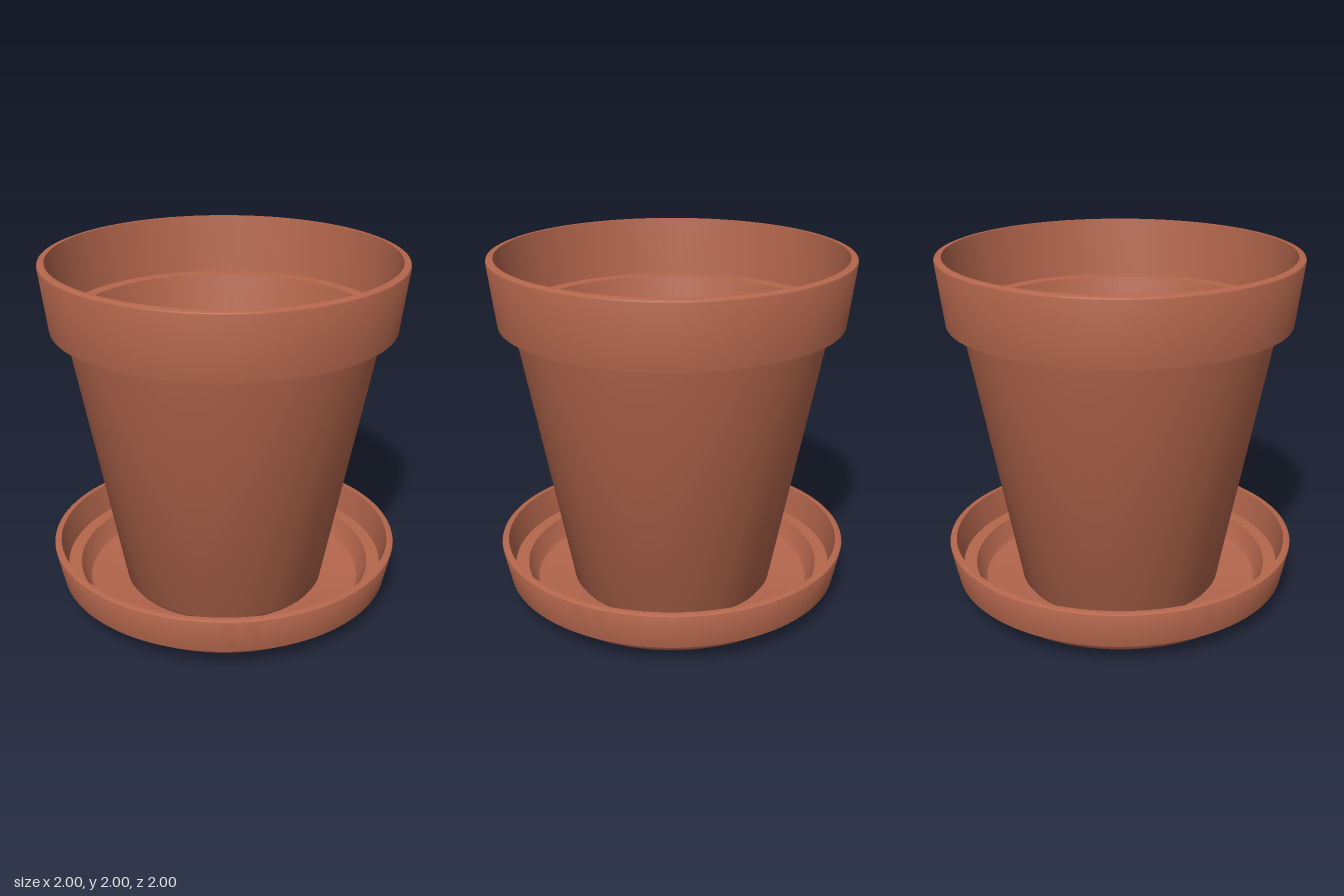
import * as THREE from 'three';
import { toCreasedNormals } from 'three/addons/utils/BufferGeometryUtils.js';

const terracotta = new THREE.MeshStandardMaterial({ color: 0xb4664c });
terracotta.name = 'terracotta';

// Closed profile, from the axis underneath, up the outside and down the inside
function turned(name, profile) {
  const points = profile.map(([r, y]) => new THREE.Vector2(r, y));
  const geometry = toCreasedNormals(new THREE.LatheGeometry(points, 96), 0.6);
  const mesh = new THREE.Mesh(geometry, terracotta);
  mesh.name = name;
  return mesh;
}

export function createModel() {
  const group = new THREE.Group();
  group.name = 'flowerPotWithSaucer';

  group.add(turned('saucer', [
    // rounded foot
    [0, 0], [0.74, 0], [0.79, 0.006], [0.815, 0.016], [0.832, 0.036], [0.87, 0.12],
    // collar
    [0.955, 0.12], [0.998, 0.322], [0.996, 0.328], [0.98, 0.335], [0.96, 0.335],
    // inner ledge and dish
    [0.925, 0.17], [0.85, 0.17], [0.815, 0.09], [0.795, 0.065], [0.76, 0.055], [0, 0.055],
  ]));

  group.add(turned('pot', [
    // base and tapered body
    [0, 0.056], [0.54, 0.056], [0.562, 0.062], [0.578, 0.085], [0.872, 1.63],
    // collar
    [0.955, 1.63], [1, 1.982], [0.997, 1.99], [0.98, 1.997], [0.96, 1.997],
    // inner ledge, wall and floor
    [0.925, 1.66], [0.85, 1.66], [0.533, 0.11], [0, 0.11],
  ]));

  return group;
}
